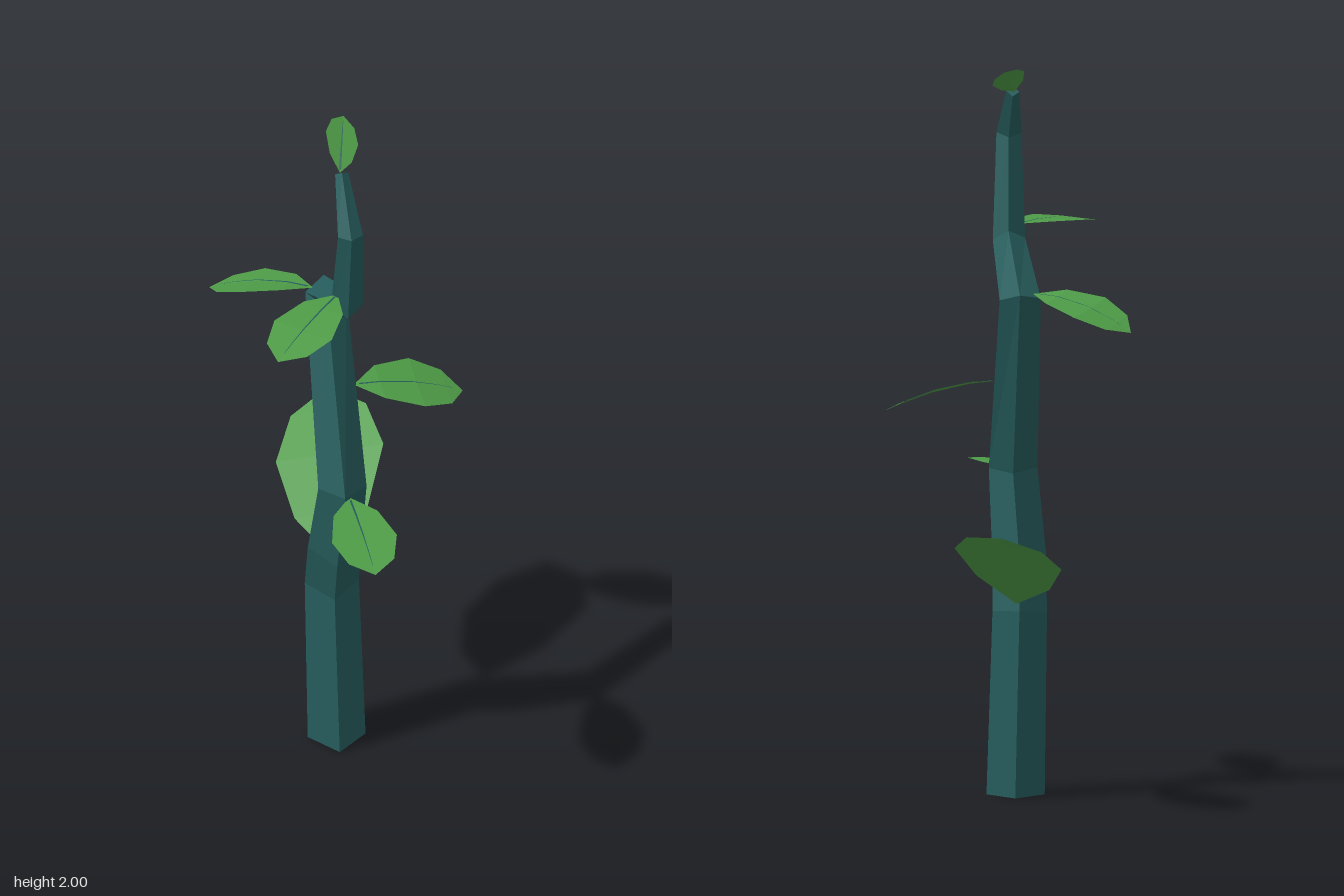
import * as THREE from 'three';

const V = (a) => new THREE.Vector3(...a);

// Flat-faced geometry from points and triangle indices
function facets(points, index) {
  const g = new THREE.BufferGeometry().setFromPoints(points);
  g.setIndex(index);
  const flat = g.toNonIndexed();
  flat.computeVertexNormals();
  return flat;
}

// Four-sided stalk: square rings carried along a bent path, [x, y, z, radius]
function stemGeometry(path) {
  const centres = path.map((p) => V(p.slice(0, 3)));
  const dirs = centres.slice(1).map((c, i) => c.clone().sub(centres[i]).normalize());
  const corners = [0, 1, 2, 3].map((j) => {
    const a = 0.605 + (j * Math.PI) / 2;
    return new THREE.Vector3(Math.cos(a), 0, Math.sin(a));
  });
  const points = [], index = [];
  let tangent = new THREE.Vector3(0, 1, 0);
  path.forEach((p, i) => {
    let next = tangent;
    if (i === path.length - 1) next = dirs[i - 1];
    else if (i > 0) next = dirs[i - 1].clone().add(dirs[i]).normalize();
    const q = new THREE.Quaternion().setFromUnitVectors(tangent, next);
    tangent = next;
    corners.forEach((c) => points.push(c.applyQuaternion(q).clone().multiplyScalar(p[3]).add(centres[i])));
    if (i === 0) return;
    for (let j = 0; j < 4; j++) {
      const a = (i - 1) * 4 + j, b = (i - 1) * 4 + ((j + 1) % 4);
      index.push(a, a + 4, b, b, a + 4, b + 4);
    }
  });
  const e = points.length - 4;
  index.push(0, 1, 2, 0, 2, 3, e, e + 2, e + 1, e, e + 3, e + 2);
  return facets(points, index);
}

// Arched eight-cornered blade with a thin midrib
function makeLeaf({ base, tip, width, arch, roll }, leafMat, ribMat) {
  const start = V(base), along = V(tip).sub(start);
  const side = new THREE.Vector3(along.z, 0, -along.x).normalize();
  const sideFlat = side.clone();
  side.y = roll;
  const rows = [[0, 0], [0.24, 0.68], [0.58, 1], [0.85, 0.7], [1, 0]];
  const at = (t, w, lift) => {
    const p = start.clone().addScaledVector(along, t).addScaledVector(side, w * width);
    p.y += arch * 4 * t * (1 - t) + lift;
    return p;
  };
  const points = [], index = [], ribPoints = [], ribIndex = [];
  rows.forEach(([t, w], i) => {
    points.push(at(t, -w, 0), at(t, 0, -0.004 * w), at(t, w, 0));
    const r = at(0.05 + t * 0.85, 0, 0.001);
    const half = 0.003 * (1 - t * 0.8);
    ribPoints.push(r.clone().addScaledVector(sideFlat, -half), r.clone().addScaledVector(sideFlat, half));
    if (i === 0) return;
    const k = (i - 1) * 3, m = (i - 1) * 2;
    for (const s of [0, 1]) {
      if (i > 1) index.push(k + s, k + s + 3, k + s + 1);
      if (i < 4) index.push(k + s + 1, k + s + 3, k + s + 4);
    }
    ribIndex.push(m, m + 2, m + 1, m + 1, m + 2, m + 3);
  });
  // Close the pointed ends, where the side corners meet the midline
  index.push(1, 4, 5, 1, 3, 4, 10, 13, 11, 9, 13, 10);
  const leaf = new THREE.Group();
  const blade = new THREE.Mesh(facets(points, index), leafMat);
  blade.name = 'leafBlade';
  const rib = new THREE.Mesh(facets(ribPoints, ribIndex), ribMat);
  rib.name = 'leafMidrib';
  leaf.add(blade, rib);
  return leaf;
}

export function createModel() {
  const stemMat = new THREE.MeshStandardMaterial({ color: 0x265c5c, flatShading: true, side: THREE.DoubleSide });
  stemMat.name = 'tealStem';
  const leafMat = new THREE.MeshStandardMaterial({ color: 0x4f9d48, flatShading: true, side: THREE.DoubleSide });
  leafMat.name = 'greenLeaf';

  const model = new THREE.Group();
  model.name = 'climbingPlant';

  // Crooked tapering stem
  const stem = new THREE.Mesh(stemGeometry([
    [0.015, 0, -0.005, 0.079],
    [-0.005, 0.505, -0.005, 0.074],
    [0.035, 0.655, 0.02, 0.073],
    [0.083, 0.885, 0.033, 0.066],
    [-0.115, 1.38, -0.078, 0.056],
    [0.103, 1.51, 0.033, 0.044],
    [0.165, 1.79, 0.075, 0.034],
    [0.065, 1.92, 0.02, 0.018],
  ]), stemMat);
  stem.name = 'stem';
  model.add(stem);

  // Leaves, one at each bend
  const leaves = {
    largeLowerLeaf: { base: [-0.055, 0.535, -0.05], tip: [-0.405, 0.78, -0.335], width: 0.146, arch: 0.02, roll: -0.19 },
    middleLeftLeaf: { base: [0.125, 0.88, 0.045], tip: [0.42, 0.857, 0.205], width: 0.09, arch: 0.012, roll: 0 },
    middleBackLeaf: { base: [0.01, 1.14, -0.07], tip: [0.145, 1.065, -0.345], width: 0.09, arch: 0.02, roll: 0.2 },
    upperRightLeaf: { base: [-0.135, 1.395, -0.05], tip: [-0.41, 1.31, 0.085], width: 0.086, arch: 0.025, roll: 0.2 },
    upperFrontLeaf: { base: [0.095, 1.55, 0.06], tip: [0.2, 1.525, 0.365], width: 0.09, arch: 0.012, roll: 0 },
    topLeaf: { base: [0.06, 1.92, 0.022], tip: [-0.055, 1.995, -0.09], width: 0.044, arch: 0.006, roll: 0.47 },
  };
  for (const [name, spec] of Object.entries(leaves)) {
    const leaf = makeLeaf(spec, leafMat, stemMat);
    leaf.name = name;
    model.add(leaf);
  }
  return model;
}
